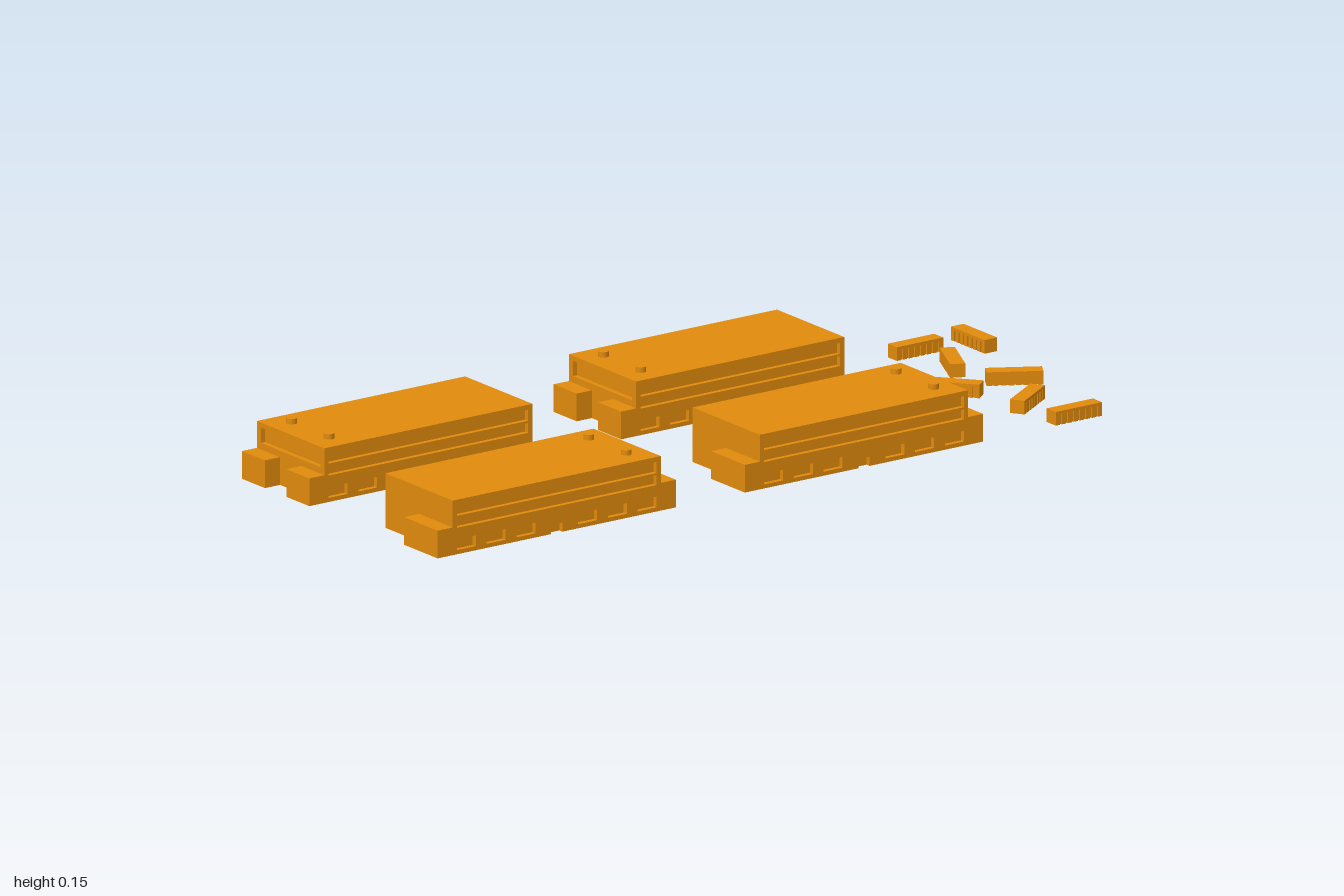
import * as THREE from 'three';

const material = new THREE.MeshStandardMaterial({ color: 0xe08a0c, flatShading: true });
const HX = 0.297, HZ = 0.1325, H = 0.132, SKIN = 0.012; // block half sizes, height, skin thickness

function add(parent, name, geometry, x = 0, y = 0, z = 0) {
  const mesh = new THREE.Mesh(geometry, material);
  mesh.name = name;
  mesh.position.set(x, y, z);
  parent.add(mesh);
  return mesh;
}

// Box given by its min and max corners
function box(parent, name, x0, x1, y0, y1, z0, z1) {
  return add(parent, name, new THREE.BoxGeometry(x1 - x0, y1 - y0, z1 - z0),
    (x0 + x1) / 2, (y0 + y1) / 2, (z0 + z1) / 2);
}

function rectHole(shape, x0, x1, y0, y1) {
  const hole = new THREE.Path();
  hole.moveTo(x0, y0).lineTo(x0, y1).lineTo(x1, y1).lineTo(x1, y0).closePath();
  shape.holes.push(hole);
}

const extrude = (shape) => new THREE.ExtrudeGeometry(shape, { depth: SKIN, bevelEnabled: false });

// Long side panel: two slots, six windows and a notch in the bottom edge
function sidePanel() {
  const s = new THREE.Shape();
  s.moveTo(-HX, 0).lineTo(-0.016, 0).lineTo(-0.016, 0.022).lineTo(0.016, 0.022).lineTo(0.016, 0)
    .lineTo(HX, 0).lineTo(HX, H).lineTo(-HX, H).closePath();
  rectHole(s, -0.285, 0.285, 0.093, 0.12);
  rectHole(s, -0.285, 0.285, 0.064, 0.088);
  for (const side of [-1, 1]) {
    for (const x of [0.088, 0.173, 0.258]) rectHole(s, side * x - 0.027, side * x + 0.027, 0.01, 0.036);
  }
  return extrude(s);
}

// End panel with one wide slot
function endPanel() {
  const w = HZ - SKIN;
  const s = new THREE.Shape();
  s.moveTo(-w, 0).lineTo(w, 0).lineTo(w, H).lineTo(-w, H).closePath();
  rectHole(s, -0.117, 0.117, 0.083, 0.12);
  return extrude(s);
}

function makeBlock(name, x, z, turned) {
  const block = new THREE.Group();
  block.name = name;
  box(block, 'core', -HX, HX - SKIN, 0, H, -HZ + SKIN, HZ - SKIN);
  add(block, 'frontPanel', sidePanel(), 0, 0, HZ - SKIN);
  add(block, 'backPanel', sidePanel(), 0, 0, -HZ + SKIN).rotation.y = Math.PI;
  add(block, 'endPanel', endPanel(), HX - SKIN).rotation.y = Math.PI / 2;
  // Interlocking tabs and locating pins
  box(block, 'singleTab', -0.34, -HX, 0, 0.067, 0, HZ);
  for (const s of [-1, 1]) {
    const z0 = s > 0 ? 0.042 : -HZ;
    box(block, 'pairedTab', HX, 0.34, 0, 0.067, z0, z0 + HZ - 0.042);
    add(block, 'pin', new THREE.CylinderGeometry(0.0125, 0.0125, 0.013, 24), 0.241, H + 0.0065, s * 0.0735);
  }
  block.position.set(x, 0.005, z);
  if (turned) block.rotation.y = Math.PI;
  return block;
}

// Small loose bar with ribbed long sides
function makeBar(x, z, angle, y) {
  const bar = new THREE.Group();
  bar.name = 'ribbedBar';
  const L = 0.066, W = 0.018, h = 0.033, g = 0.004, ribs = 8;
  box(bar, 'barCore', -L, L, 0, h, -W + g, W - g);
  for (const s of [-1, 1]) {
    const z0 = s > 0 ? W - g : -W;
    box(bar, 'barRim', -L, L, h - 0.007, h, z0, z0 + g);
    for (let i = 0; i < ribs; i++) {
      const cx = -L + 0.006 + i * (2 * L - 0.012) / (ribs - 1);
      box(bar, 'rib', cx - 0.006, cx + 0.006, 0, h - 0.007, z0, z0 + g);
    }
  }
  bar.position.set(x, y, z);
  bar.rotation.y = angle;
  return bar;
}

export function createModel() {
  const group = new THREE.Group();
  group.name = 'blockSet';
  group.add(
    makeBlock('frontRightBlock', -0.66, 0.2525, false),
    makeBlock('frontLeftBlock', 0.217, 0.2525, false),
    makeBlock('backRightBlock', -0.66, -0.2525, true),
    makeBlock('backLeftBlock', 0.23, -0.2525, true),
  );
  // x, z, turn about y, height
  const bars = [
    [0.832, -0.26, 0, 0.005], [0.981, -0.235, Math.PI / 2, 0.005], [0.832, -0.115, 1.13, 0.005],
    [0.894, 0.043, -0.53, 0], [0.72, 0.045, -0.87, 0.005], [0.804, 0.219, 0.58, 0.005],
    [0.832, 0.365, 0, 0.005],
  ];
  for (const [x, z, angle, y] of bars) group.add(makeBar(x, z, angle, y));
  return group;
}
